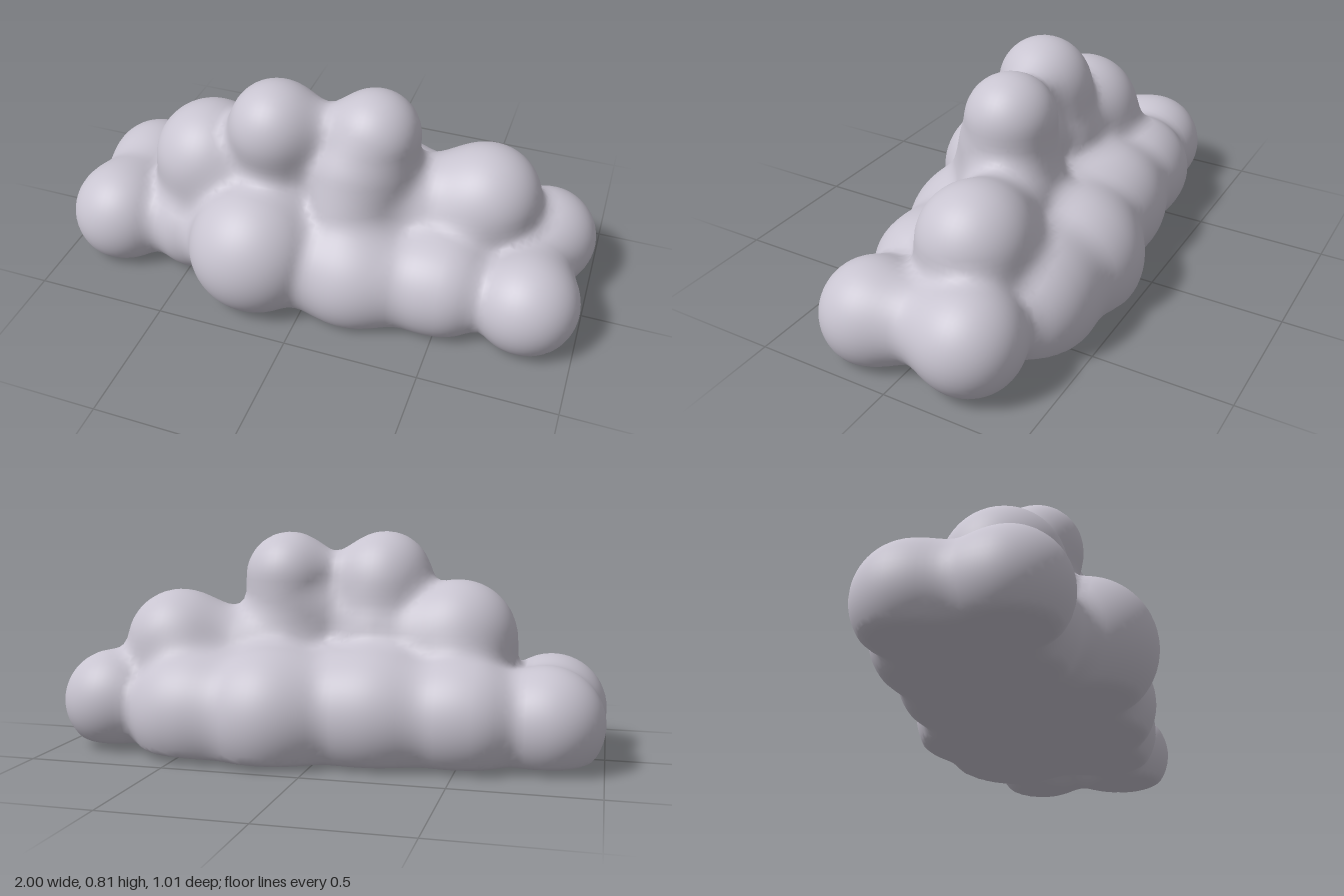
import * as THREE from 'three';

// Puffs of the cloud: x, y, z, radius
const PUFFS = [
  // ends
  [-0.80, 0.155, 0.16, 0.197], [-0.80, 0.155, -0.14, 0.197],
  [0.807, 0.15, 0.16, 0.19], [0.807, 0.175, -0.21, 0.19],
  // front row
  [-0.50, 0.16, 0.11, 0.20], [-0.20, 0.21, 0.245, 0.255],
  [0.17, 0.15, 0.195, 0.22], [0.48, 0.15, 0.15, 0.19],
  // back row
  [-0.50, 0.17, -0.18, 0.21], [-0.20, 0.17, -0.205, 0.23],
  [0.17, 0.15, -0.262, 0.243], [0.45, 0.15, -0.25, 0.225],
  // crown
  [-0.46, 0.42, 0.03, 0.218], [0.58, 0.385, -0.10, 0.205],
  [-0.18, 0.64, 0.065, 0.17],
];

// Rounded bars that join the puffs: start, end, radius
const BARS = [
  // middle
  [[-0.75, 0.16, 0], [-0.3, 0.18, 0], 0.15],
  [[-0.4, 0.22, 0], [0.45, 0.2, -0.05], 0.23],
  [[0.45, 0.18, -0.05], [0.78, 0.19, -0.03], 0.12],
  // ends
  [[-0.8, 0.155, 0.16], [-0.8, 0.155, -0.14], 0.16],
  [[0.807, 0.16, 0.16], [0.807, 0.175, -0.21], 0.13],
  // front and back rows
  [[0.05, 0.15, 0.185], [0.5, 0.15, 0.145], 0.192],
  [[-0.55, 0.16, -0.19], [-0.05, 0.165, -0.21], 0.19],
  [[-0.05, 0.165, -0.21], [0.17, 0.155, -0.26], 0.205],
  [[0.17, 0.15, -0.26], [0.5, 0.15, -0.24], 0.21],
  // tall column and its flared foot
  [[0.18, 0.25, 0], [0.175, 0.64, 0], 0.167],
  [[0.12, 0.5, 0.06], [0.12, 0.24, 0.14], 0.165],
  // neck under the front crown puff
  [[-0.18, 0.25, 0.08], [-0.18, 0.58, 0.035], 0.155],
  // webs between the crown puffs
  [[-0.18, 0.65, 0.04], [0.18, 0.65, 0], 0.075],
  [[-0.18, 0.5, 0.03], [0.18, 0.5, 0], 0.12],
  [[0.2, 0.36, -0.03], [0.5, 0.36, -0.09], 0.165],
  [[-0.46, 0.38, 0.01], [-0.18, 0.42, 0.01], 0.17],
];

function blend(a, b, k) {
  const h = Math.max(k - Math.abs(a - b), 0) / k;
  return Math.min(a, b) - h * h * k * 0.25;
}

function barDistance([a, b, r], x, y, z) {
  const d = [b[0] - a[0], b[1] - a[1], b[2] - a[2]];
  const p = [x - a[0], y - a[1], z - a[2]];
  const t = THREE.MathUtils.clamp(
    (p[0] * d[0] + p[1] * d[1] + p[2] * d[2]) / (d[0] ** 2 + d[1] ** 2 + d[2] ** 2), 0, 1);
  return Math.hypot(p[0] - d[0] * t, p[1] - d[1] * t, p[2] - d[2] * t) - r;
}

// Signed distance to the blended cloud, cut by a slightly bowed underside
function field(x, y, z) {
  let d = 10;
  for (const bar of BARS) d = blend(d, barDistance(bar, x, y, z), 0.07);
  for (const [px, py, pz, r] of PUFFS) d = blend(d, Math.hypot(x - px, y - py, z - pz) - r, 0.07);
  return -blend(-d, y - 0.001 - 0.022 * x * x - 0.08 * z * z, 0.02);
}

function gradient(x, y, z) {
  const e = 0.002;
  return new THREE.Vector3(
    field(x + e, y, z) - field(x - e, y, z),
    field(x, y + e, z) - field(x, y - e, z),
    field(x, y, z + e) - field(x, y, z - e)).normalize();
}

// Wraps a grid of quads around the zero surface of the field
function wrapSurface(min, size, step) {
  const n = size.map((s) => Math.ceil(s / step));
  const stride = [1, n[0] + 1, (n[0] + 1) * (n[1] + 1)];
  const values = new Float32Array(stride[2] * (n[2] + 1));
  const at = (i, j, k) => i + j * stride[1] + k * stride[2];
  for (let k = 0; k <= n[2]; k++)
    for (let j = 0; j <= n[1]; j++)
      for (let i = 0; i <= n[0]; i++)
        values[at(i, j, k)] = field(min[0] + i * step, min[1] + j * step, min[2] + k * step);

  const positions = [], normals = [], index = [];
  const cellVertex = new Int32Array(values.length).fill(-1);
  const corner = (c) => [c & 1, (c >> 1) & 1, (c >> 2) & 1];

  // one vertex for each cell that the surface crosses
  for (let k = 0; k < n[2]; k++)
    for (let j = 0; j < n[1]; j++)
      for (let i = 0; i < n[0]; i++) {
        const sum = [0, 0, 0];
        let count = 0;
        for (let c = 0; c < 8; c++)
          for (let axis = 0; axis < 3; axis++) {
            if (c & (1 << axis)) continue;
            const o = corner(c);
            const id = at(i + o[0], j + o[1], k + o[2]);
            const a = values[id], b = values[id + stride[axis]];
            if ((a < 0) === (b < 0)) continue;
            o[axis] += a / (a - b);
            for (let m = 0; m < 3; m++) sum[m] += o[m];
            count++;
          }
        if (!count) continue;
        const p = new THREE.Vector3(
          min[0] + (i + sum[0] / count) * step,
          min[1] + (j + sum[1] / count) * step,
          min[2] + (k + sum[2] / count) * step);
        p.addScaledVector(gradient(p.x, p.y, p.z), -field(p.x, p.y, p.z));
        cellVertex[at(i, j, k)] = positions.length / 3;
        positions.push(p.x, p.y, p.z);
        normals.push(...gradient(p.x, p.y, p.z).toArray());
      }

  // one quad for each grid edge that the surface crosses
  for (let k = 1; k < n[2]; k++)
    for (let j = 1; j < n[1]; j++)
      for (let i = 1; i < n[0]; i++) {
        const id = at(i, j, k);
        for (let axis = 0; axis < 3; axis++) {
          const inside = values[id] < 0;
          if (inside === (values[id + stride[axis]] < 0)) continue;
          const u = stride[(axis + 1) % 3], v = stride[(axis + 2) % 3];
          const q = [id, id - u, id - u - v, id - v].map((c) => cellVertex[c]);
          if (!inside) q.reverse();
          index.push(q[0], q[1], q[2], q[0], q[2], q[3]);
        }
      }

  const geometry = new THREE.BufferGeometry();
  geometry.setAttribute('position', new THREE.Float32BufferAttribute(positions, 3));
  geometry.setAttribute('normal', new THREE.Float32BufferAttribute(normals, 3));
  geometry.setIndex(index);
  return geometry;
}

export function createModel() {
  const group = new THREE.Group();
  group.name = 'cloud';
  const paleGrey = new THREE.MeshStandardMaterial({ color: 0xc8c4d0 });
  paleGrey.name = 'paleGrey';

  const body = new THREE.Mesh(wrapSurface([-1.1, -0.08, -0.6], [2.2, 1.0, 1.2], 0.025), paleGrey);
  body.name = 'cloudBody';
  group.add(body);
  return group;
}
